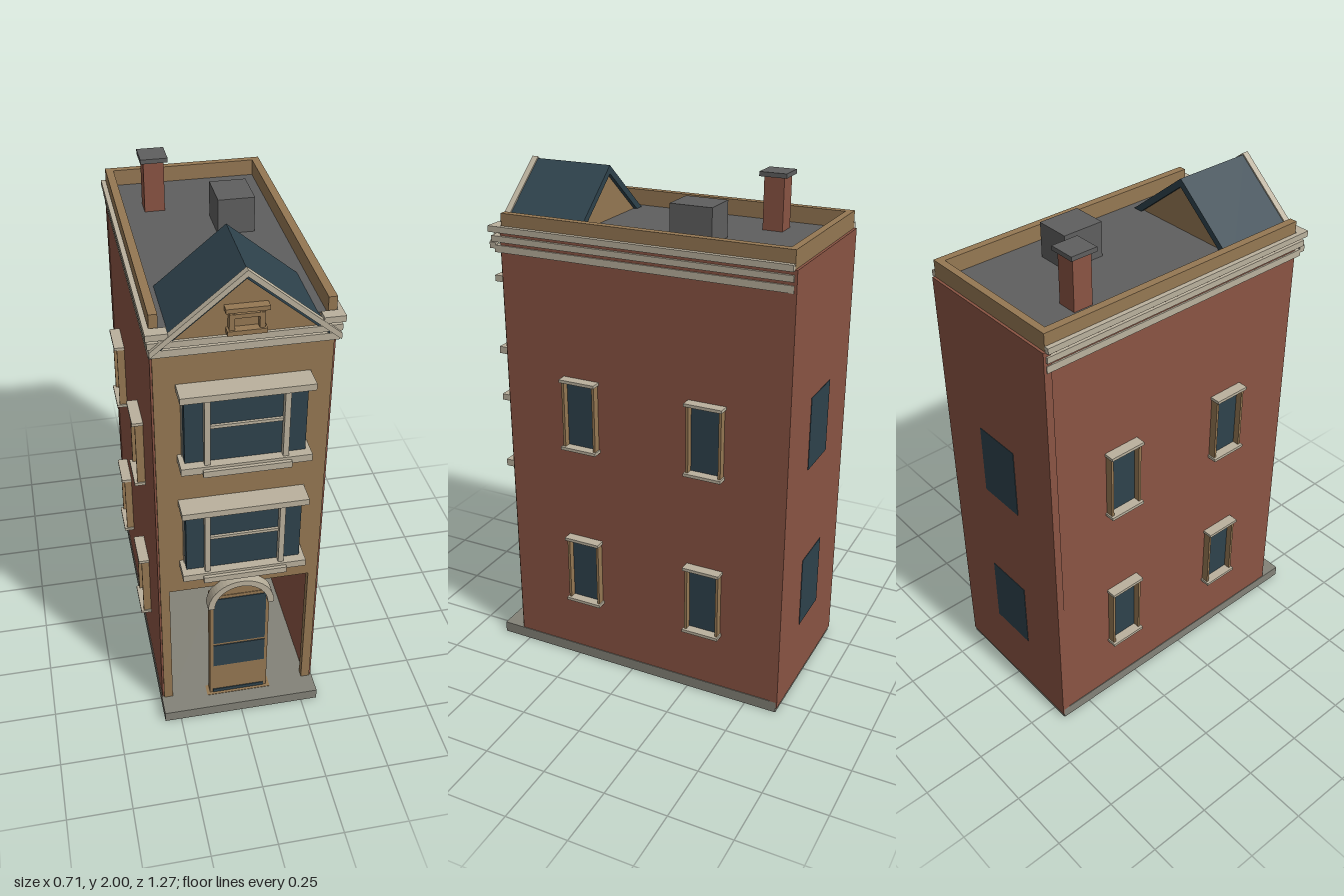
import * as THREE from 'three';

const mat = (name, color) => {
  const m = new THREE.MeshStandardMaterial({ color });
  m.name = name;
  return m;
};

export function createModel() {
  const brick = mat('brick red', 0x8a5443);
  const tan = mat('tan sandstone', 0x957853);
  const stone = mat('pale stone', 0xbab19d);
  const glass = mat('dark teal', 0x2e424c);
  const slate = mat('roof grey', 0x5f5f5f);
  const base = mat('plinth grey', 0x838278);

  const model = new THREE.Group();
  model.name = 'townhouse';

  // Box given by its extents on each axis
  const box = (name, m, x0, x1, y0, y1, z0, z1, parent = model) => {
    const mesh = new THREE.Mesh(new THREE.BoxGeometry(x1 - x0, y1 - y0, z1 - z0), m);
    mesh.position.set((x0 + x1) / 2, (y0 + y1) / 2, (z0 + z1) / 2);
    mesh.name = name;
    parent.add(mesh);
    return mesh;
  };
  // Outline in x, y pushed along z
  const slab = (name, m, shape, z0, z1, parent = model) => {
    const geo = new THREE.ExtrudeGeometry(shape, { depth: z1 - z0, bevelEnabled: false, curveSegments: 14 });
    const mesh = new THREE.Mesh(geo, m);
    mesh.position.z = z0;
    mesh.name = name;
    parent.add(mesh);
    return mesh;
  };
  const poly = (pts) => new THREE.Shape(pts.map(([x, y]) => new THREE.Vector2(x, y)));
  const group = (name) => {
    const g = new THREE.Group();
    g.name = name;
    model.add(g);
    return g;
  };

  // Hollow shell
  box('plinth', base, -0.315, 0.315, 0, 0.045, -0.63, 0.62);
  for (const s of [-1, 1]) {
    const [a, b] = s < 0 ? [-0.312, -0.285] : [0.285, 0.312];
    box('sideWall', brick, a, b, 0.045, 1.78, -0.625, 0.53);
  }
  box('backWall', brick, -0.315, 0.315, 0.02, 1.78, -0.635, -0.605);
  box('roofDeck', slate, -0.285, 0.285, 1.75, 1.785, -0.605, 0.51);

  // Front wall with the wide ground floor opening
  slab('frontWall', tan, poly([
    [-0.305, 0.045], [-0.27, 0.045], [-0.27, 0.637], [0.27, 0.637], [0.27, 0.045],
    [0.305, 0.045], [0.305, 1.78], [-0.305, 1.78]]), 0.505, 0.536);

  // Parapet
  box('parapetSide', tan, -0.31, -0.28, 1.775, 1.847, -0.625, 0.525);
  box('parapetSide', tan, 0.28, 0.31, 1.775, 1.847, -0.625, 0.525);
  box('parapetBack', tan, -0.28, 0.28, 1.775, 1.847, -0.625, -0.598);

  // Cornice: three stepped bands on the sides and front
  const cornice = group('cornice');
  [[1.7, 1.727, 0.318, 0.553], [1.74, 1.763, 0.323, 0.563], [1.777, 1.8, 0.329, 0.573]].forEach(([y0, y1, w, z], i) => {
    for (const s of [-1, 1]) {
      const [a, b] = s < 0 ? [-w, -0.311] : [0.311, w];
      box('corniceSide', stone, a, b, y0, y1, -0.625, 0.53, cornice);
      if (i === 2) box('corniceReturn', stone, s < 0 ? -w : 0.255, s < 0 ? -0.255 : w, y0, y1, 0.53, z, cornice);
    }
    if (i < 2) box('corniceFront', stone, -w, w, y0, y1, 0.53, z, cornice);
  });

  // Front gable
  const gable = group('gable');
  const k = 0.83;
  const chevron = (w, top, t) => poly([
    [-w, top - k * w], [-w, top - t - k * w], [0, top - t], [w, top - t - k * w], [w, top - k * w], [0, top]]);
  slab('gableWall', tan, poly([[-0.28, 1.735], [0.28, 1.735], [0.28, 1.742], [0, 1.968], [-0.28, 1.742]]), 0.25, 0.552, gable);
  slab('gableRoof', glass, chevron(0.28, 1.993, 0.032), 0.235, 0.558, gable);
  slab('gableRake', stone, chevron(0.318, 2, 0.023), 0.55, 0.575, gable);
  box('ventHead', tan, -0.072, 0.072, 1.857, 1.873, 0.55, 0.585, gable);
  box('ventLintel', tan, -0.055, 0.055, 1.833, 1.848, 0.55, 0.578, gable);
  box('ventSill', tan, -0.066, 0.066, 1.773, 1.79, 0.55, 0.583, gable);
  for (const x of [-0.05, 0.05]) box('ventPost', tan, x - 0.009, x + 0.009, 1.79, 1.857, 0.55, 0.576, gable);

  // Roof box and chimney
  box('roofHatch', slate, 0.04, 0.177, 1.78, 1.92, -0.265, -0.1);
  box('chimney', brick, -0.195, -0.118, 1.78, 1.985, -0.415, -0.337);
  box('chimneyCap', slate, -0.207, -0.105, 1.983, 2, -0.428, -0.322);

  // Bay windows on the two upper floors
  for (const y of [0.765, 1.26]) {
    const bay = group('bayWindow');
    const y0 = y + 0.028, y1 = y + 0.295;
    box('baySill', stone, -0.23, 0.23, y, y0, 0.53, 0.622, bay);
    box('bayCentreSill', stone, -0.155, 0.155, y - 0.008, y + 0.017, 0.53, 0.635, bay);
    box('bayHead', stone, -0.23, 0.23, y1, y1 + 0.025, 0.53, 0.622, bay);
    box('bayGlass', glass, -0.212, 0.212, y0, y1, 0.53, 0.588, bay);
    for (const s of [-1, 1]) {
      box('bayPost', stone, s * 0.137 - 0.01, s * 0.137 + 0.01, y0, y1, 0.58, 0.613, bay);
      box('bayEdge', stone, s * 0.209 - 0.006, s * 0.209 + 0.006, y0, y1, 0.53, 0.552, bay);
    }
    box('bayRail', stone, -0.127, 0.127, y + 0.168, y + 0.18, 0.58, 0.598, bay);
  }

  // Side windows
  for (const s of [-1, 1]) for (const y of [0.28, 0.96]) for (const z of [-0.317, 0.203]) {
    const win = group('sideWindow');
    const part = (name, m, w, y0, y1, z0, z1) =>
      box(name, m, s < 0 ? -w : 0.305, s < 0 ? -0.305 : w, y0, y1, z0, z1, win);
    part('sideGlass', glass, 0.316, y + 0.01, y + 0.28, z - 0.064, z + 0.064);
    part('sideSill', stone, 0.353, y, y + 0.012, z - 0.075, z + 0.075);
    part('sideHead', stone, 0.353, y + 0.278, y + 0.29, z - 0.075, z + 0.075);
    for (const d of [-0.065, 0.065]) part('sideJamb', tan, 0.342, y + 0.012, y + 0.278, z + d - 0.005, z + d + 0.005);
  }

  // Back windows
  for (const y of [0.28, 0.96]) box('backWindow', glass, -0.1, 0.1, y, y + 0.29, -0.637, -0.63);

  // Front door with arch
  const door = group('frontDoor');
  box('doorLeaf', tan, -0.117, 0.117, 0.045, 0.59, 0.51, 0.547, door);
  box('doorGlassUpper', glass, -0.104, 0.104, 0.332, 0.575, 0.544, 0.55, door);
  box('doorGlassLower', glass, -0.104, 0.104, 0.203, 0.32, 0.544, 0.55, door);
  box('doorKick', glass, -0.104, 0.104, 0.048, 0.064, 0.544, 0.55, door);
  box('doorStep', tan, -0.13, 0.13, 0.036, 0.047, 0.51, 0.56, door);
  const fan = new THREE.Shape();
  fan.absarc(0, 0.555, 0.108, 0, Math.PI, false);
  slab('doorFan', tan, fan, 0.515, 0.545, door);
  const arch = new THREE.Shape();
  arch.absarc(0, 0.553, 0.129, 0, Math.PI, false);
  arch.absarc(0, 0.553, 0.104, Math.PI, 0, true);
  slab('doorArch', stone, arch, 0.53, 0.577, door);

  return model;
}
